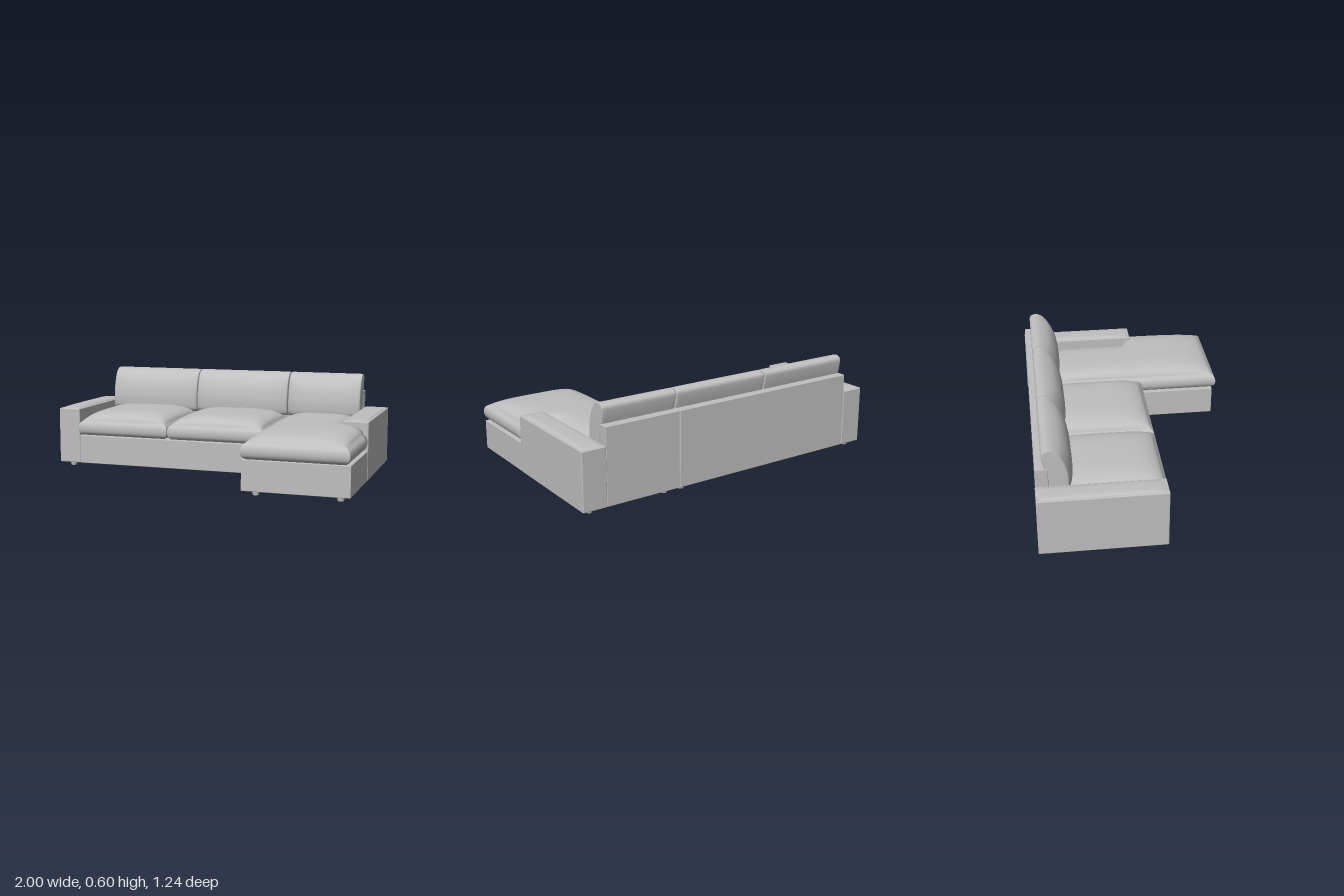
import * as THREE from 'three';
import { mergeVertices } from 'three/addons/utils/BufferGeometryUtils.js';
import { RoundedBoxGeometry } from 'three/addons/geometries/RoundedBoxGeometry.js';

const fabric = new THREE.MeshStandardMaterial({ color: 0xbfbfbf });
fabric.name = 'grey fabric';

function add(parent, name, geometry) {
  const mesh = new THREE.Mesh(geometry, fabric);
  mesh.name = name;
  parent.add(mesh);
  return mesh;
}

// Softly rounded block given by its limits
function block(parent, name, [x0, x1], [y0, y1], [z0, z1], r = 0.004) {
  const mesh = add(parent, name, new RoundedBoxGeometry(x1 - x0, y1 - y0, z1 - z0, 2, r));
  mesh.position.set((x0 + x1) / 2, (y0 + y1) / 2, (z0 + z1) / 2);
}

// Plump pad: a fine box with rounded rims and a crowned top.
// rightEdge(z) lets the right side step in for an L-shaped outline.
function pad([x0, x1], [y0, y1], [z0, z1], crown, inset, rightEdge = () => x1) {
  let g = new THREE.BoxGeometry(2, 2, 2, 24, 8, 28);
  g.deleteAttribute('normal');
  g.deleteAttribute('uv');
  g = mergeVertices(g);
  const p = g.attributes.position;
  for (let i = 0; i < p.count; i++) {
    // Crowd the grid lines towards the rims
    const u = Math.sin(p.getX(i) * Math.PI / 2), v = Math.sin(p.getZ(i) * Math.PI / 2);
    const t = p.getY(i);
    const shrink = inset * (1 - Math.sqrt(Math.max(0, 1 - t * t * 0.98)));
    const fullness = Math.sqrt(Math.max(0, (1 - u ** 4) * (1 - v ** 4)));
    const top = y1 - crown * (1 - fullness);
    const z = (z0 + z1) / 2 + v * ((z1 - z0) / 2 - shrink);
    const xr = rightEdge(z);
    const x = (x0 + xr) / 2 + u * ((xr - x0) / 2 - shrink);
    p.setXYZ(i, x, y0 + (top - y0) * (t + 1) / 2, z);
  }
  g.computeVertexNormals();
  return g;
}

// Leaning back cushion: a side profile lofted along x, thinner towards the ends
function backCushion(x0, x1) {
  const profile = [
    [-0.415, 0.33], [-0.403, 0.39], [-0.408, 0.45], [-0.425, 0.51], [-0.46, 0.562],
    [-0.51, 0.592], [-0.55, 0.599], [-0.578, 0.583], [-0.579, 0.55], [-0.56, 0.46],
    [-0.54, 0.39], [-0.52, 0.33],
  ].map(([z, y]) => new THREE.Vector3(0, y, z));
  const ring = new THREE.CatmullRomCurve3(profile, true).getPoints(48).slice(0, 48);
  const n = ring.length, cy = 0.46, cz = -0.5;
  // Position across the width and section scale; the last ones close the ends
  const stations = [[-1, 0], [-1, 0.5], [-1, 0.9], [-0.99, 0.96], [-0.97, 0.99]];
  for (let u = -0.9; u < 0.95; u += 0.15) stations.push([u, 1]);
  stations.push([0.97, 0.99], [0.99, 0.96], [1, 0.9], [1, 0.5], [1, 0]);
  const pos = [], idx = [];
  for (const [u, s] of stations) {
    for (const q of ring) {
      const front = Math.max(0, Math.min(1, (q.z + 0.52) / 0.1));
      const z = q.z - 0.03 * u ** 4 * front;
      pos.push((x0 + x1) / 2 + u * (x1 - x0) / 2, cy + (q.y - cy) * (0.8 + 0.2 * s) * (s < 0.9 ? s : 1),
        cz + (z - cz) * s);
    }
  }
  for (let i = 0; i < stations.length - 1; i++) {
    for (let j = 0; j < n; j++) {
      const a = i * n + j, b = i * n + (j + 1) % n;
      idx.push(a, a + n, b, b, a + n, b + n);
    }
  }
  const g = new THREE.BufferGeometry();
  g.setAttribute('position', new THREE.Float32BufferAttribute(pos, 3));
  g.setIndex(idx);
  g.computeVertexNormals();
  return g;
}

export function createModel() {
  const sofa = new THREE.Group();
  sofa.name = 'cornerSofa';

  // Bases and back panels of the two modules
  block(sofa, 'sofaBase', [-0.857, 0.373], [0.03, 0.21], [-0.6, 0.1]);
  block(sofa, 'chaiseBase', [0.377, 0.997], [0.03, 0.21], [-0.6, 0.595]);
  block(sofa, 'sofaBack', [-0.857, 0.373], [0.03, 0.487], [-0.617, -0.545]);
  block(sofa, 'chaiseBack', [0.377, 0.85], [0.03, 0.487], [-0.617, -0.545]);

  // Arms with slightly crowned tops
  for (const [name, x0, x1] of [['rightArm', -1, -0.857], ['leftArm', 0.85, 1]]) {
    block(sofa, name, [x0, x1], [0.03, 0.38], [-0.62, 0.1], 0.006);
    add(sofa, name + 'Top', pad([x0 + 0.004, x1 - 0.004], [0.36, 0.391], [-0.616, 0.096], 0.013, 0.008));
  }

  // Seat cushions
  add(sofa, 'seatCushionRight', pad([-0.855, -0.253], [0.215, 0.37], [-0.545, 0.122], 0.065, 0.025));
  add(sofa, 'seatCushionMiddle', pad([-0.249, 0.372], [0.215, 0.37], [-0.545, 0.122], 0.065, 0.025));
  add(sofa, 'chaiseCushion', pad([0.378, 0.995], [0.212, 0.366], [-0.545, 0.617], 0.06, 0.03,
    (z) => (z < 0.085 ? 0.852 : 0.995)));

  // Back cushions
  add(sofa, 'backCushionRight', backCushion(-0.855, -0.253));
  add(sofa, 'backCushionMiddle', backCushion(-0.249, 0.371));
  add(sofa, 'backCushionLeft', backCushion(0.377, 0.848));

  // Feet
  const footShape = new THREE.CylinderGeometry(0.023, 0.018, 0.032, 20);
  for (const [x, front] of [[-0.943, 0.02], [0.33, 0.02], [0.445, 0.525], [0.93, 0.525]]) {
    for (const z of [front, -0.555]) add(sofa, 'foot', footShape).position.set(x, 0.016, z);
  }
  return sofa;
}
